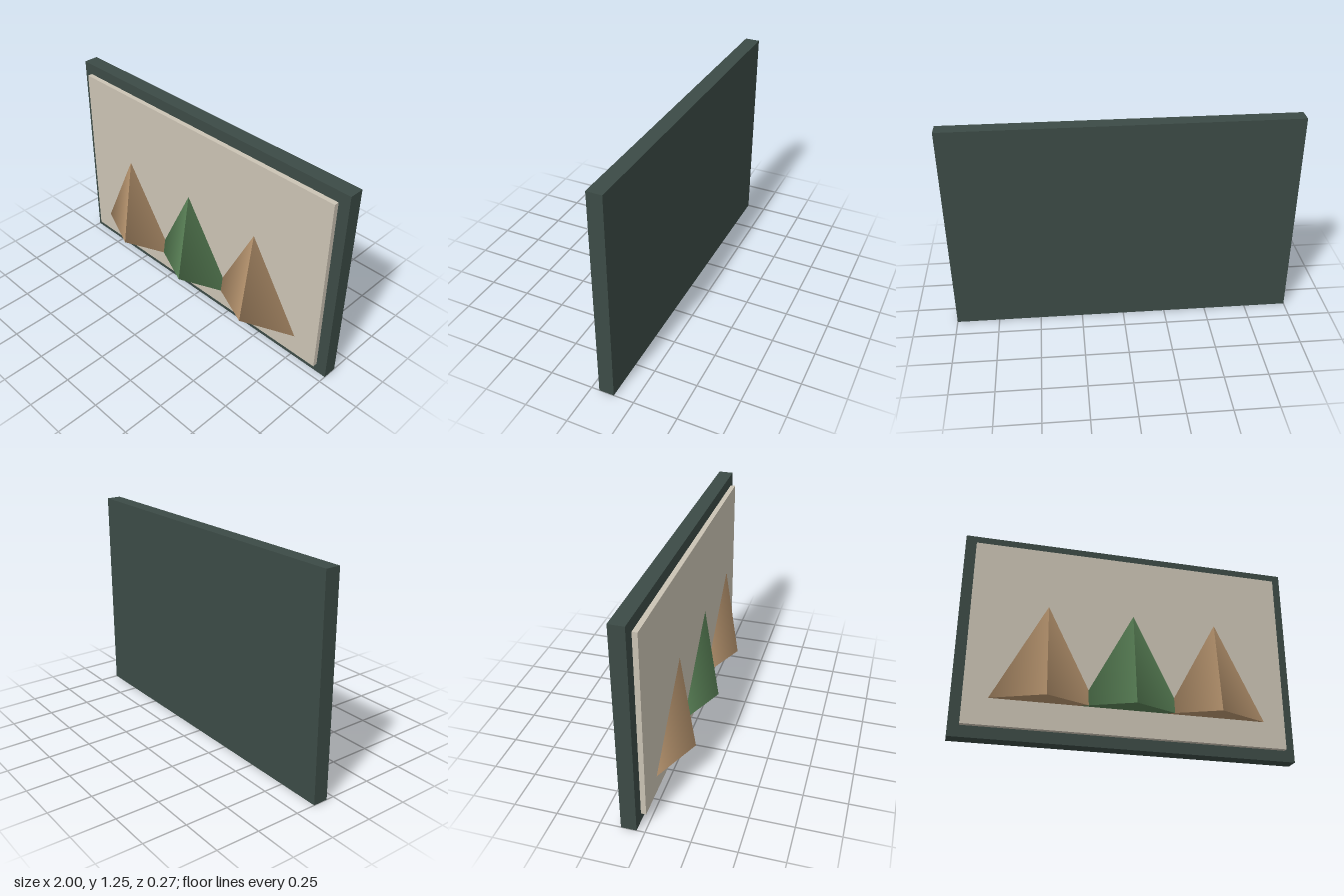
import * as THREE from 'three';

const mat = (name, color) => {
  const m = new THREE.MeshStandardMaterial({ color });
  m.name = name;
  return m;
};

export function createModel() {
  const group = new THREE.Group();
  group.name = 'treeWallPanel';

  const darkGreen = mat('darkSlateGreen', 0x3c4b46);
  const cream = mat('cream', 0xcbc3b4);
  const tan = mat('tan', 0xb8956f);
  const leaf = mat('leafGreen', 0x5a8257);

  const add = (name, geometry, material, x, y, z) => {
    const mesh = new THREE.Mesh(geometry, material);
    mesh.name = name;
    mesh.position.set(x, y, z);
    group.add(mesh);
  };

  // Backing board and the raised panel floating just in front of it
  add('backBoard', new THREE.BoxGeometry(2, 1.25, 0.087), darkGreen, 0, 0.625, -0.09);
  add('frontPanel', new THREE.BoxGeometry(1.876, 1.123, 0.029), cream, 0, 0.627, -0.027);

  // Three overlapping three-sided peaks, widened along x
  const radius = 0.087;
  const widen = 0.3 / (radius * Math.sin(Math.PI / 3));
  const peak = new THREE.ConeGeometry(radius, 0.57, 3).scale(widen, 1, 1);
  add('rightPeak', peak, tan, -0.5, 0.5, 0.0475);
  add('middlePeak', peak, leaf, 0, 0.5, 0.0475);
  add('leftPeak', peak, tan, 0.5, 0.5, 0.0475);

  return group;
}
